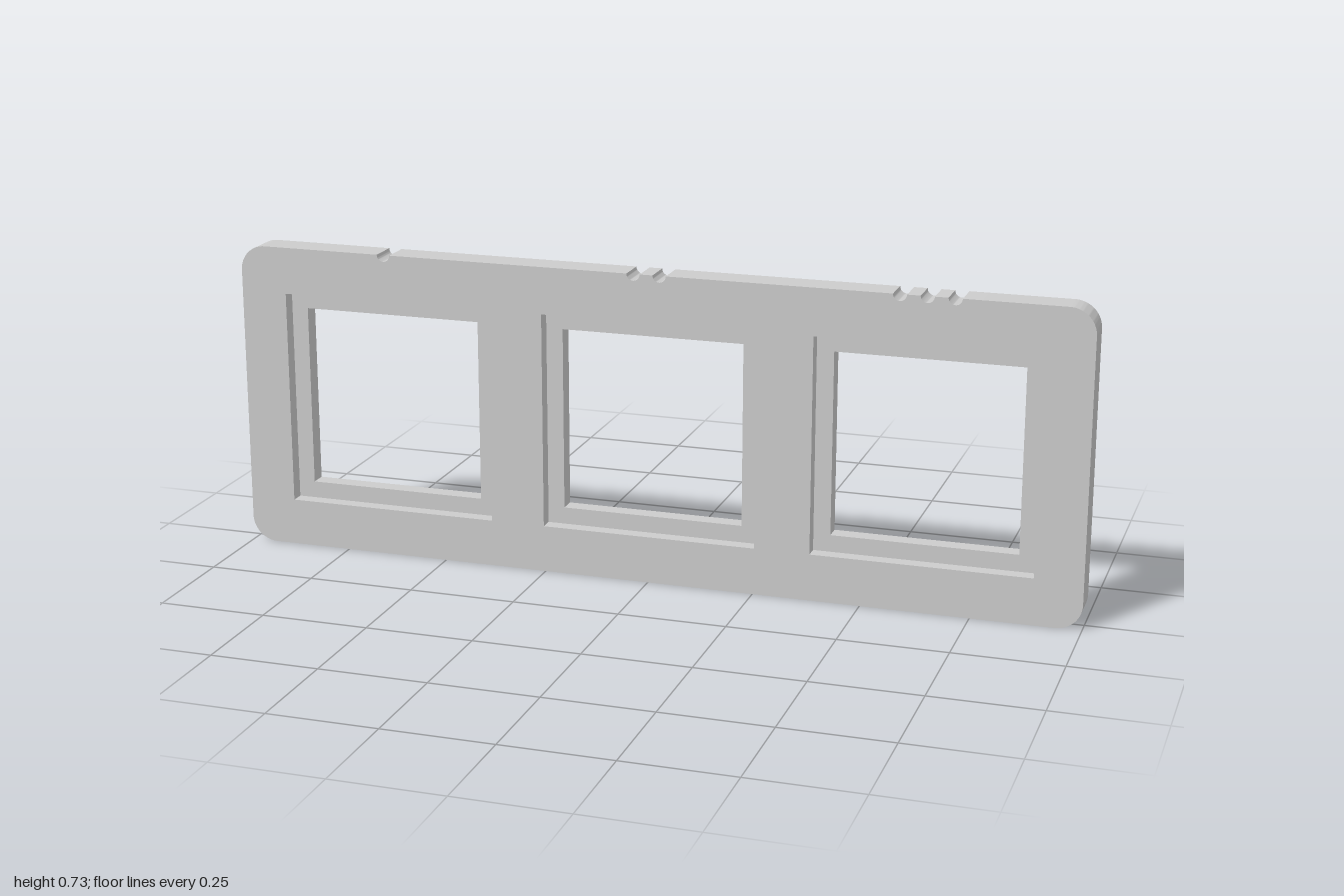
import * as THREE from 'three';
import { toCreasedNormals } from 'three/addons/utils/BufferGeometryUtils.js';

const H = 0.727, FRONT = 0.036, BACK = -0.036, LEDGE = 0.003;
const CORNER = 0.06, NOTCH_R = 0.0155;
const RECESS = 0.507, OPENING = 0.428;
const WINDOWS = [-0.636, 0, 0.636];
const NOTCHES = [0.695, 0.634, 0.573, 0.027, -0.034, -0.639]; // right to left along the top

const material = new THREE.MeshStandardMaterial({ color: 0xcccccc });

function square(size, cx = 0, cy = 0, Type = THREE.Path) {
  const h = size / 2;
  return new Type([[-h, -h], [h, -h], [h, h], [-h, h]]
    .map(([x, y]) => new THREE.Vector2(cx + x, cy + y)));
}

// rounded plate outline with small half-round notches in the top edge
function plateOutline(holeSize) {
  const s = new THREE.Shape(), r = CORNER, q = Math.PI / 2;
  s.absarc(1 - r, r, r, -q, 0);
  s.absarc(1 - r, H - r, r, 0, q);
  for (const x of NOTCHES) s.absarc(x, H, NOTCH_R, 0, Math.PI, true);
  s.absarc(-1 + r, H - r, r, q, 2 * q);
  s.absarc(-1 + r, r, r, 2 * q, 3 * q);
  s.closePath();
  if (holeSize) for (const x of WINDOWS) s.holes.push(square(holeSize, x, H / 2));
  return s;
}

// flat face at depth z, facing forward or backward
function face(shape, z, backward = false) {
  const g = new THREE.ShapeGeometry(shape, 12);
  if (backward) {
    g.setIndex([...g.index.array].reverse());
    g.computeVertexNormals();
  }
  return g.translate(0, 0, z);
}

// side walls only, between two depths; inward mirrors them to line a hole
function walls(shape, z0, z1, inward = false) {
  const full = new THREE.ExtrudeGeometry(shape, { depth: z1 - z0, bevelEnabled: false, curveSegments: 12 });
  const { start, count } = full.groups[1];
  const pos = full.attributes.position.array.slice(start * 3, (start + count) * 3);
  const g = new THREE.BufferGeometry();
  g.setAttribute('position', new THREE.BufferAttribute(pos, 3));
  if (inward) g.scale(-1, 1, 1);
  g.translate(0, 0, z0);
  return toCreasedNormals(g, 0.5);
}

export function createModel() {
  const model = new THREE.Group();
  model.name = 'tripleWindowFrame';
  const add = (parent, name, geometry) => {
    const mesh = new THREE.Mesh(geometry, material);
    mesh.name = name;
    parent.add(mesh);
  };

  // plate
  add(model, 'frontFace', face(plateOutline(RECESS), FRONT));
  add(model, 'backFace', face(plateOutline(OPENING), BACK, true));
  add(model, 'outerRim', walls(plateOutline(), BACK, FRONT));

  // three windows, each a recess stepping down to a through opening
  const ledge = square(RECESS, 0, 0, THREE.Shape);
  ledge.holes.push(square(OPENING));
  WINDOWS.forEach((x, i) => {
    const win = new THREE.Group();
    win.name = `window${i + 1}`;
    win.position.set(x, H / 2, 0);
    add(win, 'recessWalls', walls(square(RECESS, 0, 0, THREE.Shape), LEDGE, FRONT, true));
    add(win, 'recessLedge', face(ledge, LEDGE));
    add(win, 'openingWalls', walls(square(OPENING, 0, 0, THREE.Shape), BACK, LEDGE, true));
    model.add(win);
  });
  return model;
}
